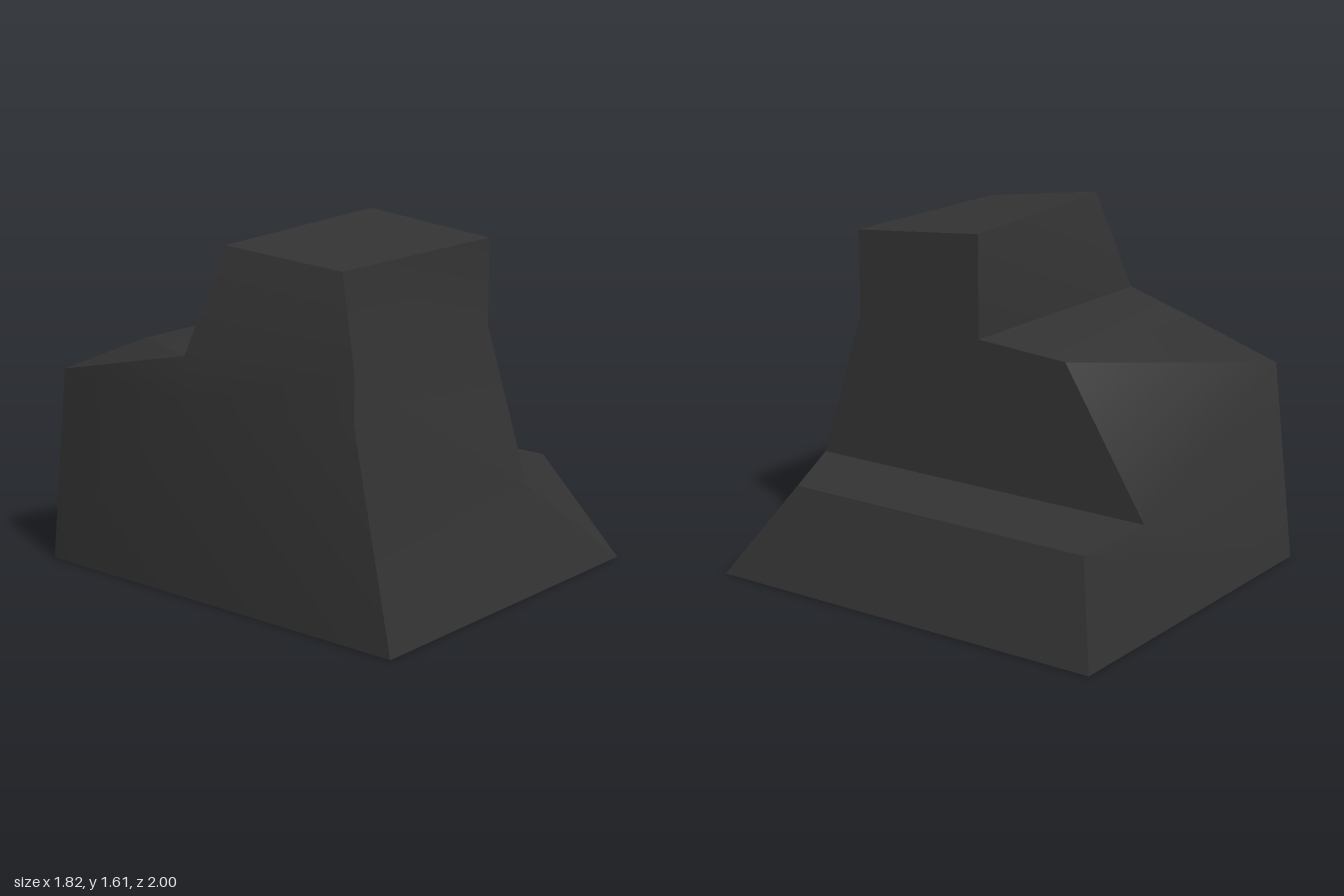
import * as THREE from 'three';
import { toCreasedNormals } from 'three/addons/utils/BufferGeometryUtils.js';

// Corners of the block, named by place
const corner = {
  baseFR: [-0.79, 0, 1], baseFL: [0.91, 0, 1], baseBL: [0.91, 0, -1], baseBR: [-0.79, 0, -1],
  // low ledge on the left
  ledgeFI: [0.33, 0.46, 0.88], ledgeFO: [0.79, 0.46, 0.65], ledgeBO: [0.79, 0.46, -0.89], ledgeBI: [0.33, 0.46, -0.89],
  // tall top
  topFR: [-0.68, 1.55, 0.65], topFL: [0.33, 1.55, 0.65], topBL: [0.33, 1.61, -0.02], topBR: [-0.79, 1.61, 0.11],
  // bends in the front and right side
  frontBend: [0.33, 1.16, 0.65], shoulderHi: [-0.735, 1.16, 0.76], shoulderLo: [-0.735, 0.93, 0.76],
  sideHi: [-0.91, 1.14, -0.02], sideLo: [-0.91, 0.93, -0.02],
  // rear step
  stepIn: [0.33, 1.14, -0.02], stepBL: [0.33, 1.11, -0.48], stepBR: [-0.68, 1.11, -0.48], backBR: [-0.79, 0.925, -0.89],
};

// Convex faces, corners counter-clockwise from outside
const faces = [
  // underside
  'baseFR baseBR baseBL baseFL',
  // front
  'baseFR baseFL ledgeFI', 'baseFR ledgeFI shoulderLo', 'shoulderLo ledgeFI shoulderHi',
  'shoulderHi ledgeFI frontBend', 'shoulderHi frontBend topFR', 'topFR frontBend topFL',
  // ledge
  'ledgeFI baseFL ledgeFO', 'ledgeFO baseFL baseBL ledgeBO', 'ledgeFI ledgeFO ledgeBO ledgeBI',
  // wall above the ledge
  'ledgeFI ledgeBI stepBL stepIn frontBend', 'frontBend stepIn topBL topFL',
  // top, riser and rear step
  'topBR topFR topFL topBL', 'topBL stepIn sideHi topBR',
  'sideHi stepIn stepBL stepBR', 'stepBR stepBL backBR', 'backBR sideLo sideHi stepBR',
  // back
  'backBR stepBL ledgeBI baseBR', 'baseBR ledgeBI ledgeBO baseBL',
  // right side
  'sideLo backBR baseBR baseFR shoulderLo', 'sideLo shoulderLo shoulderHi sideHi', 'sideHi shoulderHi topFR topBR',
];

function solid(list) {
  const pos = [];
  for (const face of list) {
    const p = face.split(' ').map((n) => corner[n]);
    for (let i = 1; i < p.length - 1; i++) pos.push(...p[0], ...p[i], ...p[i + 1]);
  }
  const geo = new THREE.BufferGeometry();
  geo.setAttribute('position', new THREE.Float32BufferAttribute(pos, 3));
  return toCreasedNormals(geo, 0.5);
}

export function createModel() {
  const group = new THREE.Group();
  group.name = 'steppedRock';
  const charcoal = new THREE.MeshStandardMaterial({ color: 0x333333 });
  charcoal.name = 'charcoal';
  const block = new THREE.Mesh(solid(faces), charcoal);
  block.name = 'steppedBlock';
  group.add(block);
  return group;
}
